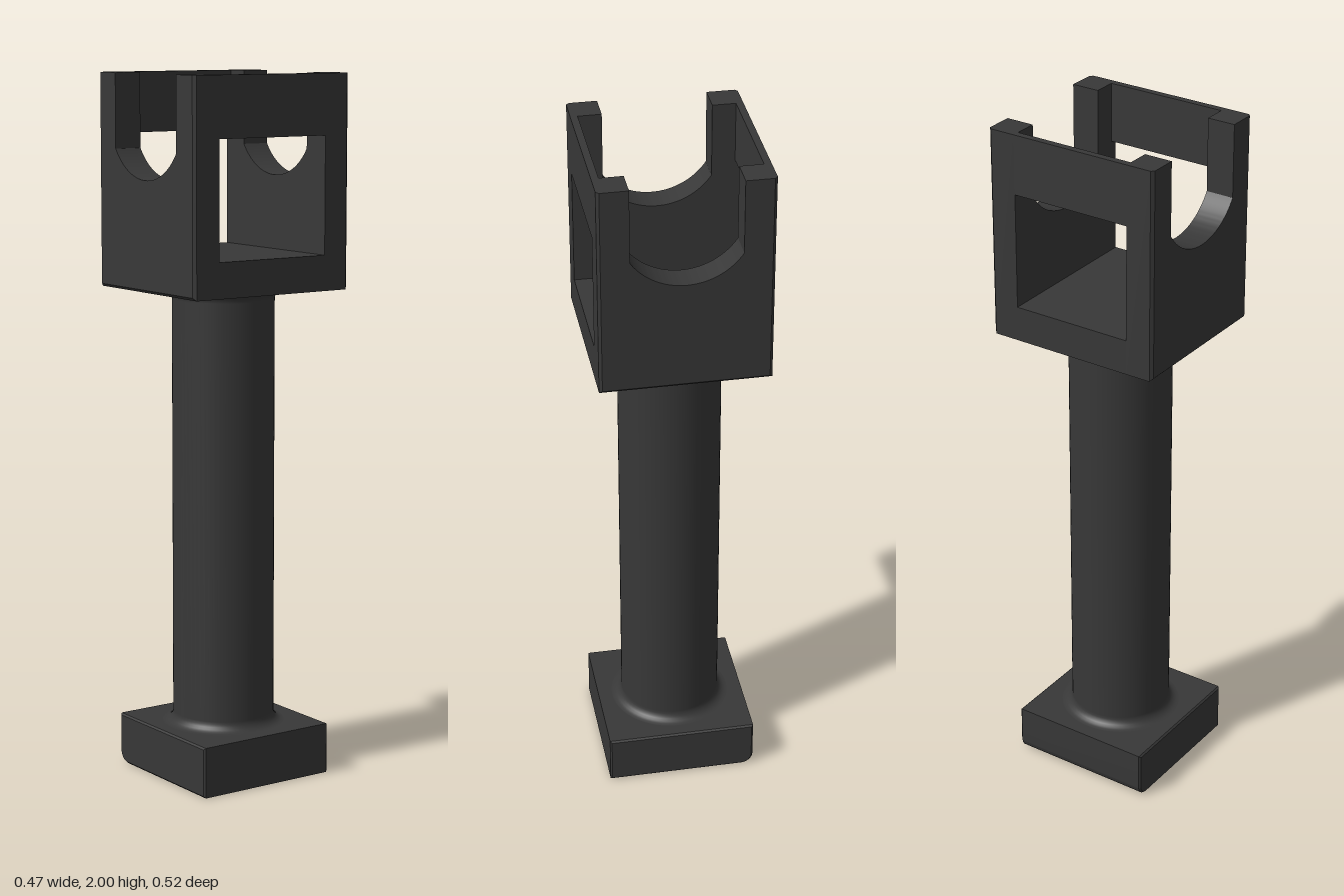
import * as THREE from 'three';
import { toCreasedNormals } from 'three/addons/utils/BufferGeometryUtils.js';

const material = new THREE.MeshStandardMaterial({ color: 0x383838 });

function addMesh(parent, name, geometry, x = 0, y = 0, z = 0) {
  const mesh = new THREE.Mesh(geometry, material);
  mesh.name = name;
  mesh.position.set(x, y, z);
  parent.add(mesh);
  return mesh;
}

// Square foot with one rounded lower edge and fine bevels
function footGeometry() {
  const b = 0.005, w = 0.216 - b, h = 0.145 - b, r = 0.03;
  const s = new THREE.Shape();
  s.moveTo(-w + r, b);
  s.lineTo(w, b);
  s.lineTo(w, h);
  s.lineTo(-w, h);
  s.lineTo(-w, b + r);
  s.absarc(-w + r, b + r, r, Math.PI, Math.PI * 1.5, false);
  const g = new THREE.ExtrudeGeometry(s, {
    depth: 2 * w, bevelEnabled: true, bevelSize: b, bevelThickness: b, bevelSegments: 1, curveSegments: 8,
  });
  g.translate(0, 0, -w);
  return toCreasedNormals(g, 0.5);
}

// Round shaft flaring into a fillet at both ends
function shaftGeometry(y0, y1) {
  const r = 0.145, f = 0.03, n = 6, pts = [];
  for (let i = 0; i <= n; i++) {
    const a = (i / n) * Math.PI / 2;
    pts.push(new THREE.Vector2(r + f * (1 - Math.sin(a)), y0 + f * (1 - Math.cos(a))));
  }
  for (let i = n; i >= 0; i--) pts.push(new THREE.Vector2(pts[i].x, y1 + y0 - pts[i].y));
  return new THREE.LatheGeometry(pts, 64);
}

// End wall with a round-bottomed slot; its outer edges are chamfered
function endWallGeometry(depth) {
  const w = 0.235, h = 0.6, slot = 0.15, r = 0.18, cy = 0.49, c = 0.008;
  const a = Math.acos(slot / r);
  const s = new THREE.Shape();
  s.moveTo(-w, 0);
  s.lineTo(w, 0);
  s.lineTo(w, h);
  s.lineTo(slot, h);
  s.lineTo(slot, cy - r * Math.sin(a));
  s.absarc(0, cy, r, -a, -Math.PI + a, true);
  s.lineTo(-slot, h);
  s.lineTo(-w, h);
  const g = new THREE.ExtrudeGeometry(s, { depth, steps: 2, bevelEnabled: false, curveSegments: 24 });
  const p = g.attributes.position;
  for (let i = 0; i < p.count; i++) {
    const x = p.getX(i), y = p.getY(i), z = p.getZ(i);
    if (z > depth * 0.9) {
      if (Math.abs(x) > w - 0.001) p.setX(i, Math.sign(x) * (w - c));
      if (y < 0.001) p.setY(i, c);
    } else if (z > depth * 0.1) p.setZ(i, depth - c);
  }
  return toCreasedNormals(g, 0.5);
}

export function createModel() {
  const model = new THREE.Group();
  model.name = 'slottedPost';
  addMesh(model, 'foot', footGeometry());
  addMesh(model, 'shaft', shaftGeometry(0.145, 1.4));

  // Open head: floor, two slotted end walls, two thin side lintels
  const head = new THREE.Group();
  head.name = 'head';
  head.position.y = 1.4;
  model.add(head);
  const inner = 0.178;
  addMesh(head, 'headFloor', new THREE.BoxGeometry(0.47, 0.1, 2 * inner), 0, 0.05, 0);
  const wall = endWallGeometry(0.26 - inner);
  addMesh(head, 'frontWall', wall, 0, 0, inner);
  addMesh(head, 'backWall', wall, 0, 0, -inner).rotation.y = Math.PI;
  const lintel = new THREE.BoxGeometry(0.02, 0.17, 2 * inner);
  for (const side of [-1, 1]) {
    addMesh(head, side > 0 ? 'leftLintel' : 'rightLintel', lintel, side * 0.225, 0.515, 0);
  }
  return model;
}
